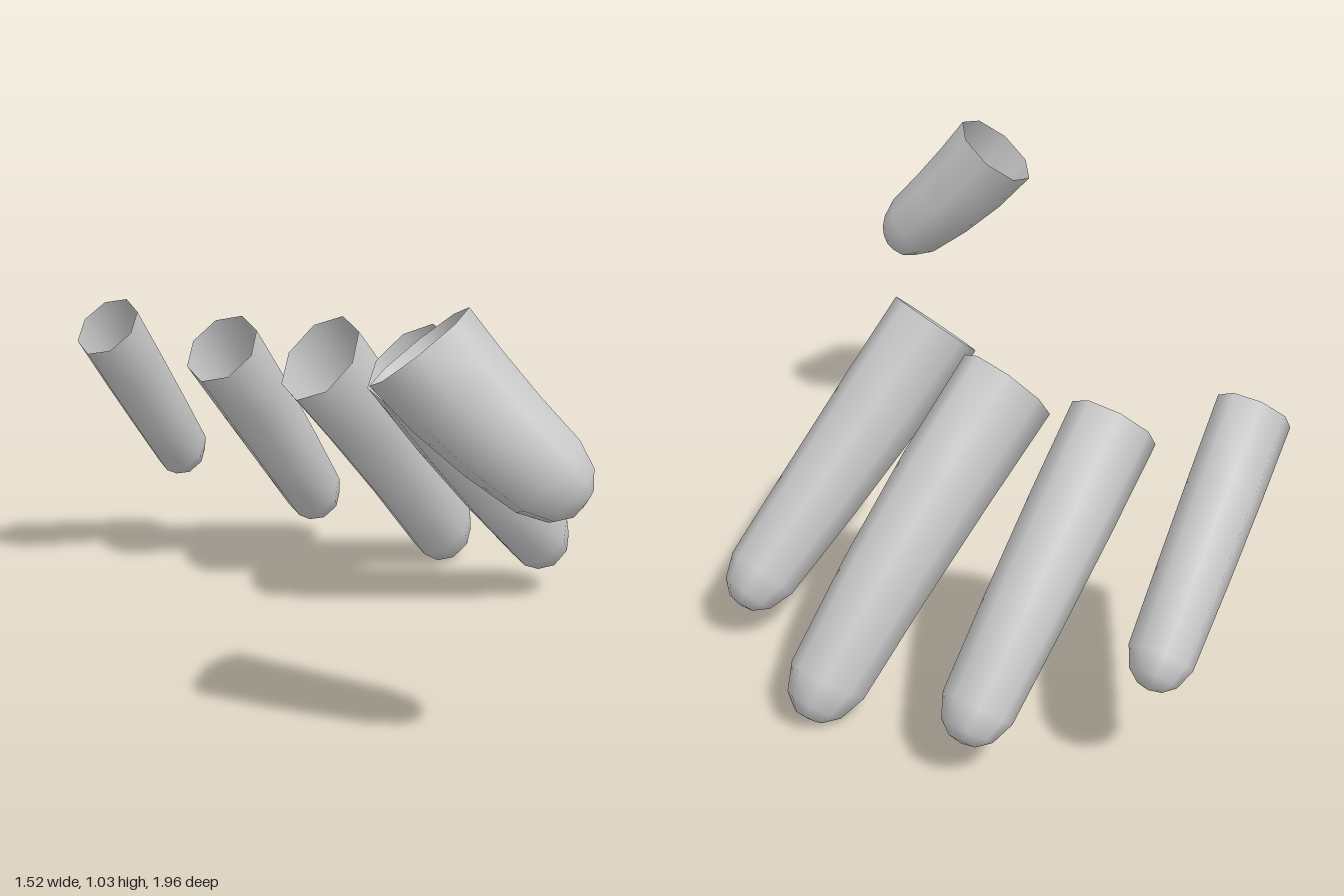
import * as THREE from 'three';

const SIDES = 8;
const material = new THREE.MeshStandardMaterial({ color: 0xcccccc, side: THREE.DoubleSide });

// base, bend and tip are points on the finger's centre line;
// depth and width are the rim radii, taper the scale where the rounded tip begins
const FINGERS = [
  { name: 'thumb', base: [-0.635, 0.955, 0.65], bend: [-0.56, 0.785, 0.765], tip: [-0.46, 0.64, 0.935], depth: 0.128, width: 0.128, taper: 0.78 },
  { name: 'indexFinger', base: [0.05, 0.75, 0.09], bend: [0.32, 0.415, 0.15], tip: [0.635, 0.12, 0.16], depth: 0.132, width: 0.112, taper: 0.75 },
  { name: 'middleFinger', base: [0.105, 0.71, -0.25], bend: [0.44, 0.39, -0.25], tip: [0.725, 0.035, -0.255], depth: 0.138, width: 0.112, taper: 0.77 },
  { name: 'ringFinger', base: [0.055, 0.705, -0.565], bend: [0.335, 0.415, -0.62], tip: [0.587, 0.117, -0.655], depth: 0.115, width: 0.102, taper: 0.8 },
  { name: 'littleFinger', base: [-0.137, 0.765, -0.815], bend: [0.08, 0.52, -0.88], tip: [0.293, 0.275, -0.938], depth: 0.1, width: 0.082, taper: 0.86 },
];

// Open-ended tapering sleeve with a rounded tip, lofted along a curve
function fingerGeometry({ base, bend, tip, depth, width, taper }) {
  const curve = new THREE.QuadraticBezierCurve3(
    new THREE.Vector3(...base), new THREE.Vector3(...bend), new THREE.Vector3(...tip));
  const length = curve.getLength();
  const capStart = 1 - 0.7 * depth / length;

  // rings as [position along the curve, radius scale]
  const rings = [0, 0.33, 0.67, 1].map(t => [t * capStart, 1 - (1 - taper) * t ** 1.5]);
  rings.push([1 - 0.22 * depth / length, taper * 0.74], [1, taper * 0.38]);

  const positions = [];
  const index = [];
  for (const [t, scale] of rings) {
    const centre = curve.getPointAt(t);
    const along = curve.getTangentAt(t);
    const side = new THREE.Vector3(0, 0, 1).addScaledVector(along, -along.z).normalize();
    const up = new THREE.Vector3().crossVectors(side, along);
    for (let j = 0; j < SIDES; j++) {
      const a = (j / SIDES) * Math.PI * 2;
      const p = centre.clone()
        .addScaledVector(up, Math.cos(a) * depth * scale)
        .addScaledVector(side, Math.sin(a) * width * scale);
      positions.push(p.x, p.y, p.z);
    }
  }
  for (let i = 0; i < rings.length - 1; i++) {
    for (let j = 0; j < SIDES; j++) {
      const a = i * SIDES + j;
      const b = i * SIDES + (j + 1) % SIDES;
      index.push(a, b, a + SIDES, b, b + SIDES, a + SIDES);
    }
  }

  // close the fingertip
  const last = (rings.length - 1) * SIDES;
  const end = curve.getPointAt(1).addScaledVector(curve.getTangentAt(1), 0.006);
  positions.push(end.x, end.y, end.z);
  for (let j = 0; j < SIDES; j++) index.push(last + j, last + (j + 1) % SIDES, last + SIDES);

  const geometry = new THREE.BufferGeometry();
  geometry.setAttribute('position', new THREE.Float32BufferAttribute(positions, 3));
  geometry.setIndex(index);
  geometry.computeVertexNormals();
  return geometry;
}

export function createModel() {
  const group = new THREE.Group();
  group.name = 'fingers';
  for (const finger of FINGERS) {
    const mesh = new THREE.Mesh(fingerGeometry(finger), material);
    mesh.name = finger.name;
    group.add(mesh);
  }
  return group;
}
